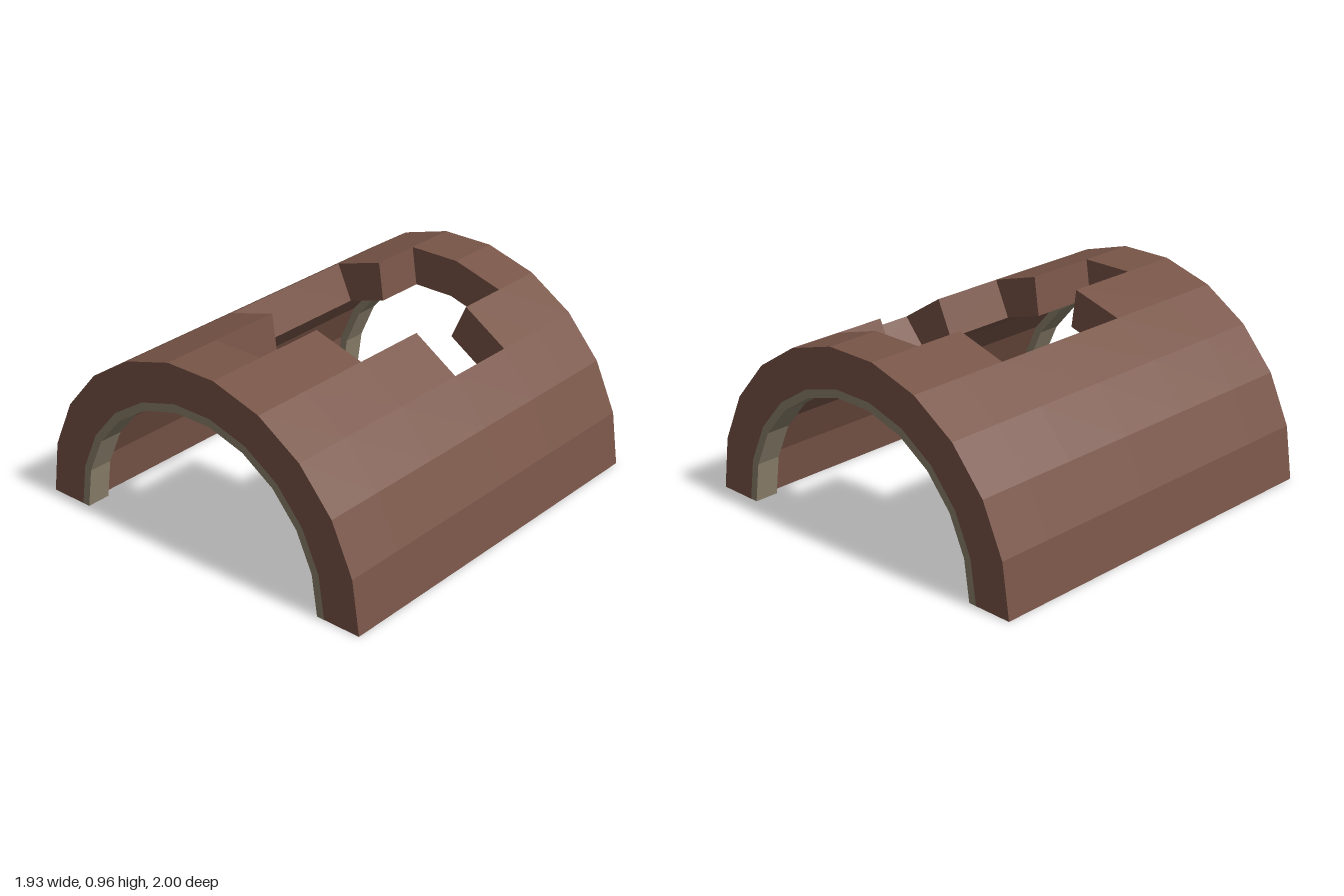
import * as THREE from 'three';

const SEGMENTS = 11;

// Faceted half tube made of cells; isSolid(segment, zMiddle) says which cells exist.
// Faces are made only where a cell borders empty space.
function archGeometry(rIn, rOut, zBreaks, isSolid) {
  const positions = [];
  const point = (i, r, z) => {
    const a = (i * Math.PI) / SEGMENTS;
    return [r * Math.cos(a), r * Math.sin(a), z];
  };
  const quad = (a, b, c, d) => positions.push(...a, ...b, ...c, ...a, ...c, ...d);
  const solid = (i, k) =>
    i >= 0 && i < SEGMENTS && k >= 0 && k < zBreaks.length - 1 &&
    isSolid(i, (zBreaks[k] + zBreaks[k + 1]) / 2);

  for (let i = 0; i < SEGMENTS; i++) {
    for (let k = 0; k < zBreaks.length - 1; k++) {
      if (!solid(i, k)) continue;
      const z0 = zBreaks[k], z1 = zBreaks[k + 1], j = i + 1;
      // outer and inner skin
      quad(point(i, rOut, z0), point(j, rOut, z0), point(j, rOut, z1), point(i, rOut, z1));
      quad(point(i, rIn, z0), point(i, rIn, z1), point(j, rIn, z1), point(j, rIn, z0));
      // radial walls: feet and hole sides
      if (!solid(i + 1, k)) quad(point(j, rIn, z0), point(j, rIn, z1), point(j, rOut, z1), point(j, rOut, z0));
      if (!solid(i - 1, k)) quad(point(i, rIn, z0), point(i, rOut, z0), point(i, rOut, z1), point(i, rIn, z1));
      // walls across the length: ends and hole ends
      if (!solid(i, k + 1)) quad(point(i, rIn, z1), point(i, rOut, z1), point(j, rOut, z1), point(j, rIn, z1));
      if (!solid(i, k - 1)) quad(point(i, rIn, z0), point(j, rIn, z0), point(j, rOut, z0), point(i, rOut, z0));
    }
  }
  const geometry = new THREE.BufferGeometry();
  geometry.setAttribute('position', new THREE.Float32BufferAttribute(positions, 3));
  geometry.computeVertexNormals();
  return geometry;
}

export function createModel() {
  const group = new THREE.Group();
  group.name = 'brokenHollowLog';

  const bark = new THREE.MeshStandardMaterial({ color: 0x795548, flatShading: true });
  bark.name = 'barkBrown';
  const lining = new THREE.MeshStandardMaterial({ color: 0x8c816c, flatShading: true });
  lining.name = 'greyOlive';

  // Ragged hole in the roof: z range removed from each segment
  const holes = { 3: [-0.46, -0.08], 4: [-0.725, 0.32], 5: [-0.725, 0.7], 6: [-0.46, 0.32] };
  const shell = new THREE.Mesh(
    archGeometry(0.768, 0.966, [-1, -0.725, -0.46, -0.08, 0.32, 0.7, 1], (i, z) => {
      const hole = holes[i];
      return !hole || z < hole[0] || z > hole[1];
    }),
    bark
  );
  shell.name = 'archShell';
  group.add(shell);

  // Thin rims lining the inside of both openings
  for (const [name, z0, z1] of [['frontRim', 0.875, 1], ['backRim', -1, -0.875]]) {
    const rim = new THREE.Mesh(archGeometry(0.727, 0.768, [z0, z1], () => true), lining);
    rim.name = name;
    group.add(rim);
  }
  return group;
}
